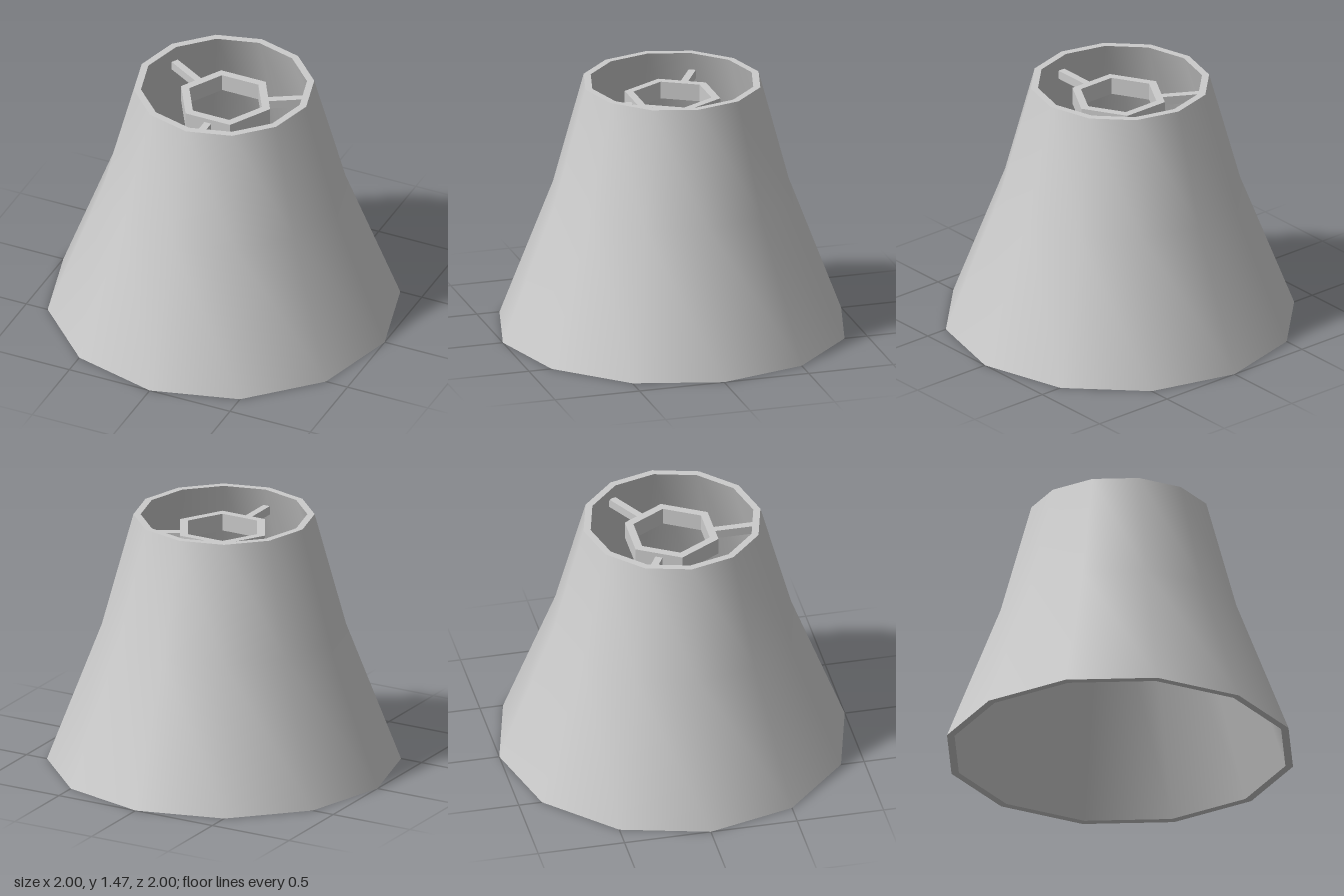
import * as THREE from 'three';

const material = new THREE.MeshStandardMaterial({ color: 0xcccccc });
const SIDES = 12;
const HEIGHT = 1.468;

function addMesh(parent, name, geometry) {
  const mesh = new THREE.Mesh(geometry, material);
  mesh.name = name;
  parent.add(mesh);
  return mesh;
}

// Twelve-sided surface of revolution from [radius, height] pairs
function lathe(points) {
  const geometry = new THREE.LatheGeometry(points.map(([r, y]) => new THREE.Vector2(r, y)), SIDES);
  geometry.normalizeNormals();
  return geometry;
}

function hexagon(PathType, radius) {
  const path = new PathType();
  for (let i = 0; i < 6; i++) {
    const a = (i * Math.PI) / 3;
    path[i ? 'lineTo' : 'moveTo'](radius * Math.cos(a), radius * Math.sin(a));
  }
  path.closePath();
  return path;
}

export function createModel() {
  const model = new THREE.Group();
  model.name = 'lampshade';

  // Shade: waisted outer wall, straight inner wall, sharp flat rims
  const shade = new THREE.Group();
  shade.name = 'shade';
  model.add(shade);
  const outer = [[1, 0], [0.69, 0.81], [0.512, HEIGHT]];
  const inner = [[0.471, HEIGHT], [0.956, 0]];
  addMesh(shade, 'outerWall', lathe(outer));
  addMesh(shade, 'innerWall', lathe(inner));
  addMesh(shade, 'topRim', lathe([outer[2], inner[0]]));
  addMesh(shade, 'bottomRim', lathe([inner[1], outer[0]]));

  // Fitting hung just below the top rim, slightly off centre
  const fitting = new THREE.Group();
  fitting.name = 'fitting';
  fitting.position.set(0.01, 1.337, 0);
  model.add(fitting);

  // Hexagonal ring
  const ringHeight = 0.1;
  const ringShape = hexagon(THREE.Shape, 0.277);
  ringShape.holes.push(hexagon(THREE.Path, 0.226));
  const ring = new THREE.ExtrudeGeometry(ringShape, { depth: ringHeight, bevelEnabled: false });
  ring.translate(0, 0, -ringHeight / 2).rotateX(-Math.PI / 2);
  addMesh(fitting, 'ring', ring);

  // Three spokes from the ring to the shade
  const start = 0.225;
  const end = 0.5;
  for (let i = 0; i < 3; i++) {
    const spoke = new THREE.BoxGeometry(0.042, 0.05, end - start);
    spoke.translate(0, 0, (start + end) / 2);
    addMesh(fitting, 'spoke', spoke).rotation.y = (i * 2 * Math.PI) / 3;
  }
  return model;
}
